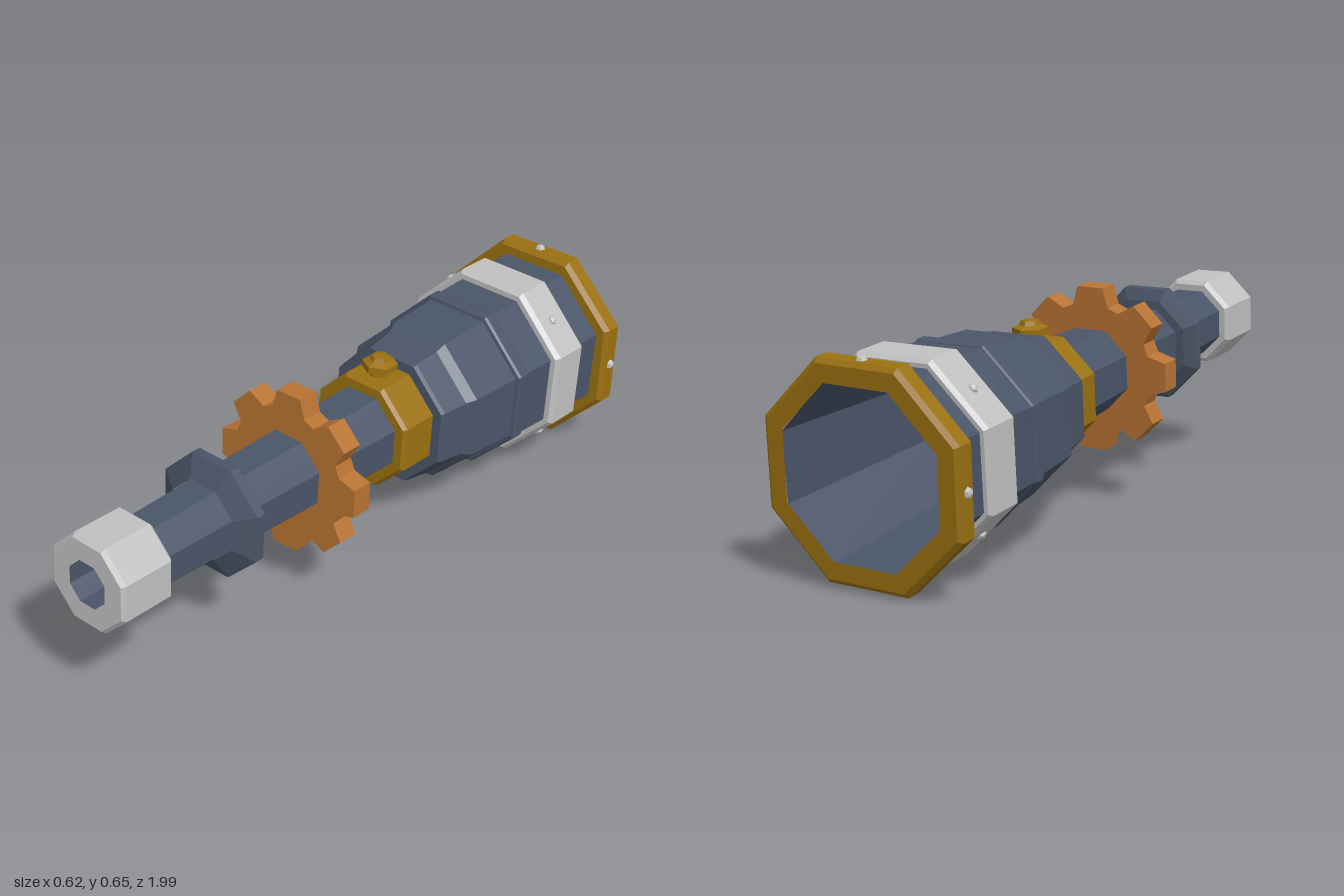
import * as THREE from 'three';

const TILT = 0.081;            // nose-up lean of the whole barrel
const TWIST = 0.02;            // slight roll of the gear and rear rim
const FLAT = 1 / Math.cos(Math.PI / 8);

const mat = (name, color) => {
  const m = new THREE.MeshStandardMaterial({ color });
  m.name = name;
  return m;
};

// Facets a geometry so that every side reads flat
function faceted(geo) {
  const g = geo.index ? geo.toNonIndexed() : geo;
  g.computeVertexNormals();
  return g;
}

// Octagonal turned part along z; points are [distance to flat, position on axis]
function turned(points) {
  const pts = points.map(([r, s]) => new THREE.Vector2(r * FLAT, s));
  const g = new THREE.LatheGeometry(pts, 8, Math.PI / 8);
  g.rotateX(Math.PI / 2);
  return faceted(g);
}

export function createModel() {
  const model = new THREE.Group();
  model.name = 'telescope';
  const barrel = new THREE.Group();
  barrel.name = 'barrel';
  barrel.rotation.x = -TILT;
  barrel.position.y = 0.379;
  model.add(barrel);

  const slate = mat('slate blue', 0x4a5568);
  const silver = mat('silver', 0xc0c0c0);
  const brass = mat('dark brass', 0x9a7010);
  const copper = mat('copper', 0xb87333);

  const add = (name, geo, material, parent = barrel) => {
    const mesh = new THREE.Mesh(geo, material);
    mesh.name = name;
    parent.add(mesh);
    return mesh;
  };

  // Eyepiece with its recessed bore
  add('eyepiece', turned([
    [0.09, 0.81], [0.12, 0.81], [0.132, 0.822], [0.132, 0.978], [0.122, 0.99], [0.064, 0.99],
  ]), silver);
  add('eyepieceBore', turned([[0.064, 0.99], [0.064, 0.86], [0, 0.86]]), slate);

  // Slim draw tube and its bevelled flange
  add('drawTube', turned([[0.131, -0.22], [0.1, 0.83]]), slate);
  add('flange', turned([
    [0.1, 0.492], [0.135, 0.495], [0.17, 0.512], [0.17, 0.54], [0.11, 0.572],
  ]), slate);

  // Eight-toothed focus gear
  const outline = [];
  for (let i = 0; i < 8; i++) {
    const a = (i * Math.PI) / 4;
    for (const [r, da] of [[0.198, -0.3], [0.25, -0.17], [0.25, 0.17], [0.198, 0.3]]) {
      outline.push(new THREE.Vector2(r * Math.cos(a + da), r * Math.sin(a + da)));
    }
  }
  const gearGeo = new THREE.ExtrudeGeometry(new THREE.Shape(outline), { depth: 0.066, bevelEnabled: false });
  gearGeo.translate(0, 0, 0.167);
  add('focusGear', faceted(gearGeo), copper).rotation.z = TWIST;

  // Brass collar
  add('collar', turned([
    [0.11, -0.222], [0.155, -0.222], [0.164, -0.212], [0.164, -0.096], [0.155, -0.085], [0.11, -0.085],
  ]), brass);

  // Hexagonal knob on top of the collar
  const knob = new THREE.Group();
  knob.name = 'knob';
  knob.position.set(0, 0.155, -0.158);
  barrel.add(knob);
  const knobProfile = [[0.034, 0], [0.034, 0.02], [0.052, 0.026], [0.052, 0.046], [0.032, 0.054], [0.026, 0.066], [0, 0.07]];
  add('knobHead', faceted(new THREE.LatheGeometry(
    knobProfile.map(([r, y]) => new THREE.Vector2(r, y)), 6)), brass, knob);

  // Stepped main body
  add('mainBody', turned([
    [0.1, -0.212], [0.193, -0.212], [0.197, -0.225], [0.208, -0.31], [0.226, -0.338], [0.236, -0.515],
    [0.244, -0.55], [0.248, -0.69], [0.256, -0.92],
  ].reverse()), slate);
  add('bodyRing', turned([
    [0.235, -0.565], [0.247, -0.56], [0.25, -0.552], [0.25, -0.524], [0.246, -0.516], [0.23, -0.512],
  ]), slate);
  add('bodyInterior', turned([[0, -0.23], [0.17, -0.23], [0.205, -0.4], [0.235, -0.977]]), slate);

  // Silver band
  add('silverBand', turned([
    [0.245, -0.812], [0.264, -0.812], [0.274, -0.8], [0.274, -0.69], [0.264, -0.675], [0.242, -0.675],
  ]), silver);

  // Brass rear rim
  add('rearRim', turned([
    [0.235, -0.977], [0.284, -0.977], [0.297, -0.966], [0.297, -0.92], [0.284, -0.907], [0.245, -0.907],
  ]), brass).rotation.z = TWIST;

  // Rivets: four on the rim, four on the diagonals of the silver band
  const rivetGeo = faceted(new THREE.SphereGeometry(0.018, 6, 4));
  for (let i = 0; i < 4; i++) {
    for (const [name, r, s, offset] of [
      ['rimRivet', 0.292, -0.942, TWIST], ['bandRivet', 0.268, -0.743, Math.PI / 4],
    ]) {
      const a = (i * Math.PI) / 2 + offset;
      const rivet = add(name, rivetGeo, silver);
      rivet.position.set(r * Math.cos(a), r * Math.sin(a), s);
      rivet.rotation.z = a - Math.PI / 2;
    }
  }
  return model;
}
